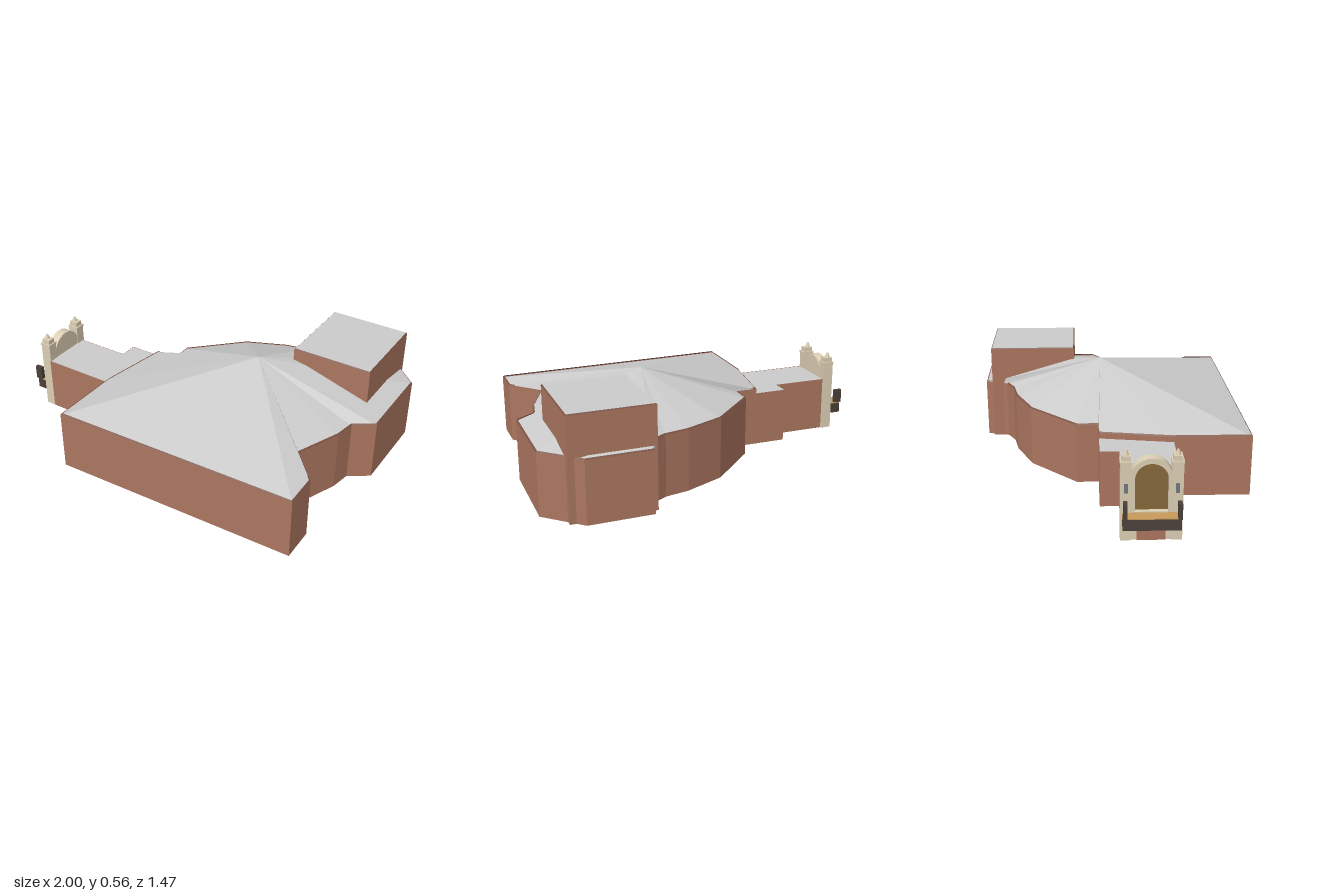
import * as THREE from 'three';

const mat = (color) => new THREE.MeshStandardMaterial({ color, flatShading: true, side: THREE.DoubleSide });

export function createModel() {
  const group = new THREE.Group();
  const brick = mat(0xac7660), roofing = mat(0xcccccc), trim = mat(0x7a5142), glass = mat(0x707880);
  const stone = mat(0xdccfb4), gold = mat(0xc89a5a), sign = mat(0x4a403a), bronze = mat(0x86683c);

  const add = (name, geometry, material, x = 0, y = 0, z = 0) => {
    const mesh = new THREE.Mesh(geometry, material);
    mesh.name = name;
    mesh.position.set(x, y, z);
    group.add(mesh);
    return mesh;
  };
  // box given by its minimum and maximum corners
  const block = (name, material, [x0, y0, z0], [x1, y1, z1]) =>
    add(name, new THREE.BoxGeometry(x1 - x0, y1 - y0, z1 - z0), material,
      (x0 + x1) / 2, (y0 + y1) / 2, (z0 + z1) / 2);
  const triangles = (pos) => {
    const g = new THREE.BufferGeometry();
    g.setAttribute('position', new THREE.Float32BufferAttribute(pos, 3));
    g.computeVertexNormals();
    return g;
  };
  // band of quads between two plan lines of [x, z] points at two heights
  const band = (lower, y0, upper, y1, closed = true) => {
    const pos = [];
    const n = lower.length;
    for (let i = 0; i < (closed ? n : n - 1); i++) {
      const j = (i + 1) % n;
      const a = [lower[i][0], y0, lower[i][1]], b = [lower[j][0], y0, lower[j][1]];
      const c = [upper[j][0], y1, upper[j][1]], d = [upper[i][0], y1, upper[i][1]];
      pos.push(...a, ...b, ...c, ...a, ...c, ...d);
    }
    return triangles(pos);
  };
  // closed plan moved inwards by w, with mitred corners
  const inset = (plan, w) => plan.map(([x, z], i) => {
    const n = plan.length, p = plan[(i + n - 1) % n], q = plan[(i + 1) % n];
    const u = new THREE.Vector2(x - p[0], z - p[1]).normalize();
    const v = new THREE.Vector2(q[0] - x, q[1] - z).normalize();
    const k = w / Math.max(0.4, 1 + u.dot(v));
    return [x + (u.y + v.y) * k, z - (u.x + v.x) * k];
  });
  // flat horizontal sheet over a plan
  const sheet = (plan) => {
    const shape = new THREE.Shape(plan.map(([x, z]) => new THREE.Vector2(x, -z)));
    return new THREE.ShapeGeometry(shape).rotateX(-Math.PI / 2);
  };

  // main hall: irregular walls, coping, ceiling and shallow fan roof rising to one peak
  const hall = [
    [-0.442, 0.73], [0.922, 0.693], [0.92, 0.508], [0.77, 0.342], [0.87, 0.1], [0.89, -0.012],
    [0.999, -0.085], [0.999, -0.557], [0.81, -0.735], [0.465, -0.735], [0.445, -0.66], [0.43, -0.61],
    [0.35, -0.565], [0.22, -0.54], [0, -0.445], [-0.26, -0.19], [-0.26, -0.07],
    [-0.38, -0.07], [-0.442, 0.32],
  ];
  const eave = 0.331, peak = [0.302, 0.535, -0.05];
  add('hallWalls', band(hall, 0, hall, 0.335), brick);
  add('hallCoping', band(hall, 0.335, inset(hall, 0.007), 0.342), trim);
  add('hallCeiling', sheet(hall), roofing, 0, eave - 0.003, 0);
  const fan = [];
  hall.forEach(([ax, az], i) => {
    const [bx, bz] = hall[(i + 1) % hall.length];
    fan.push(ax, eave, az, bx, eave, bz, ...peak);
  });
  add('hallRoof', triangles(fan), roofing);

  // stage tower, open underneath like the hall
  const tower = [[0.437, -0.203], [0.884, -0.203], [0.884, -0.697], [0.437, -0.697]];
  add('towerWalls', band(tower, 0, tower, 0.549), brick);
  add('towerCoping', band(tower, 0.549, inset(tower, 0.005), 0.555), trim);
  add('towerRoof', sheet(inset(tower, 0.005)), roofing, 0, 0.555, 0);

  // low lobby linking the hall to the entrance
  const lobby = [[-0.26, -0.07], [-0.56, -0.07], [-0.56, 0.03], [-0.87, 0.03], [-0.87, 0.32], [-0.44, 0.32]];
  add('lobbyWalls', band(lobby, 0, lobby, 0.308, false), brick);
  add('lobbyRoof', sheet([...lobby, [-0.38, -0.07]]), roofing, 0, 0.306, 0);

  // outline in the z-y plane, extruded towards -x from the given x
  const slab = (name, shape, x, depth, material) =>
    add(name, new THREE.ExtrudeGeometry(shape, { depth, bevelEnabled: false, curveSegments: 16 })
      .rotateY(-Math.PI / 2), material, x);
  const archShape = (r, bottom, spring, Type = THREE.Shape) => {
    const s = new Type();
    s.moveTo(0.17 - r, bottom);
    s.lineTo(0.17 + r, bottom);
    s.lineTo(0.17 + r, spring);
    s.absarc(0.17, spring, r, 0, Math.PI, false);
    s.lineTo(0.17 - r, bottom);
    return s;
  };

  // entrance front: arched stone frame on a solid back, with a recessed window
  const frame = archShape(0.1, 0, 0.325);
  frame.holes.push(archShape(0.08, 0.15, 0.318, THREE.Path));
  slab('entranceArch', frame, -0.885, 0.035, stone);
  slab('entranceBack', archShape(0.1, 0, 0.325), -0.868, 0.017, stone);
  slab('archWindow', archShape(0.08, 0.15, 0.318), -0.885, 0.01, bronze);
  block('entranceDoors', brick, [-0.924, 0, 0.1], [-0.918, 0.085, 0.24]);

  // pillars with stepped caps and finials
  for (const z of [0.0475, 0.2925]) {
    block('pillar', stone, [-0.925, 0, z - 0.0275], [-0.865, 0.405, z + 0.0275]);
    block('pillarCornice', stone, [-0.928, 0.4, z - 0.03], [-0.862, 0.412, z + 0.03]);
    block('pillarCap', stone, [-0.92, 0.412, z - 0.022], [-0.87, 0.438, z + 0.022]);
    add('finial', new THREE.CylinderGeometry(0.006, 0.014, 0.026, 8), stone, -0.9, 0.451, z);
    block('pillarPanel', glass, [-0.927, 0.25, z - 0.009], [-0.924, 0.3, z + 0.009]);
  }

  // canopy over the doors with raised sign ends
  block('canopy', sign, [-0.99, 0.085, 0.03], [-0.922, 0.143, 0.31]);
  block('canopyTop', gold, [-0.99, 0.143, 0.03], [-0.925, 0.148, 0.31]);
  for (const z of [0.042, 0.302])
    block('canopySign', sign, [-1, 0.145, z - 0.01], [-0.955, 0.225, z + 0.01]);

  return group;
}
